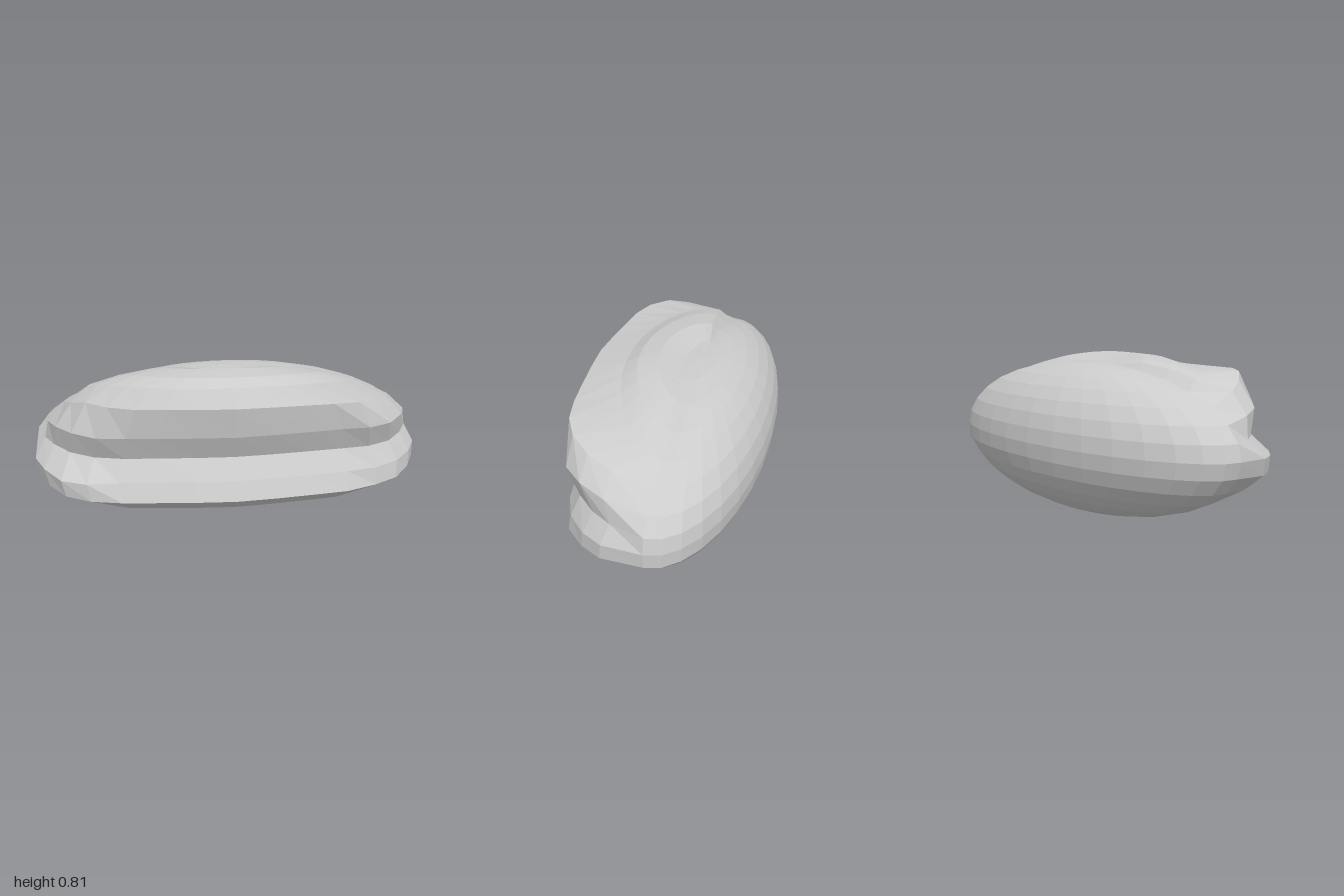
import * as THREE from 'three';

const RINGS = 16, SIDES = 32, R = 0.385, CENTRE_Z = -0.085;

// Front centreline [z, y] for rings 5 to 15: chin, lower lip, mouth crease, upper lip, brow
const FRONT = [
  [0.23, 0.165], [0.40, 0.19], [0.47, 0.27], [0.43, 0.36], [0.37, 0.46], [0.425, 0.588],
  [0.45, 0.742], [0.275, 0.775], [0.21, 0.805], [0.11, 0.815], [-0.01, 0.77],
];

// Rings of the lips: how far the four corner columns reach forward on each side,
// how early the height changes [left, right], and the width of the ring's front
const LIPS = {
  6: { left: [0.28, 0.52, 0.70, 0.81], right: [0.28, 0.52, 0.70, 0.81], lift: [0.8, 0.8], width: 1 },
  7: { left: [0.37, 0.56, 0.74, 0.84], right: [0.38, 0.58, 0.77, 0.87], lift: [1.1, 1.1], width: 1 },
  8: { left: [0.38, 0.58, 0.76, 0.87], right: [0.38, 0.60, 0.83, 0.92], lift: [1.1, 1.1], width: 1 },
  9: { left: [0.36, 0.57, 0.78, 0.89], right: [0.28, 0.48, 0.70, 0.85], lift: [1, 1], width: 0.97 },
  10: { left: [0.38, 0.63, 0.82, 0.91], right: [0.30, 0.54, 0.74, 0.88], lift: [1.6, 1.6], width: 1 },
  11: { left: [0.36, 0.58, 0.76, 0.87], right: [0.30, 0.50, 0.68, 0.84], lift: [1, 1.4], width: 1 },
};
const MIDDLE_REACH = [0.92, 0.95, 0.98, 1];

// Point on the shell: a round pod at the back that blends into the lipped front
function shellPoint(i, j) {
  const { lerp } = THREE.MathUtils;
  const lat = Math.PI * (i / RINGS - 0.5);
  const a = (2 * Math.PI * j) / SIDES;
  const s = Math.sin(a);
  const width = Math.cos(lat);
  const isLeft = j <= SIDES / 4;
  let x = width * Math.cos(a);
  let y = R + R * Math.sin(lat);
  let z = CENTRE_Z + R * width * s;
  const front = FRONT[i - 5];
  if (front && j > 0 && j < SIDES / 2) {
    const lip = LIPS[i];
    const depth = front[0] - CENTRE_Z;
    if (lip) {
      // Lips wrap round to the corners of the mouth
      const column = Math.min(j, SIDES / 2 - j) - 1;
      const reach = [...(isLeft ? lip.left : lip.right), ...MIDDLE_REACH][column];
      x *= lip.width;
      y = lerp(y, front[1], Math.min(1, reach * lip.lift[isLeft ? 0 : 1]));
      z = CENTRE_Z + depth * reach;
    } else {
      // Chin and brow swell gradually towards the middle
      y = lerp(y, front[1], isLeft ? s : Math.sqrt(s));
      z = CENTRE_Z + lerp(R * width, depth, s) * s;
    }
  }
  // The lower lip's left end stands upright
  if (i === 7 && x > 0) x *= 1.018;
  return [x, y, z];
}

function shellGeometry() {
  const positions = [], index = [];
  for (let i = 0; i <= RINGS; i++)
    for (let j = 0; j < SIDES; j++) positions.push(...shellPoint(i, j));
  for (let i = 0; i < RINGS; i++)
    for (let j = 0; j < SIDES; j++) {
      const k = (j + 1) % SIDES;
      const p = i * SIDES + j, q = i * SIDES + k;
      if (i < RINGS - 1) index.push(p, p + SIDES, q + SIDES);
      if (i > 0) index.push(p, q + SIDES, q);
    }
  const geometry = new THREE.BufferGeometry();
  geometry.setAttribute('position', new THREE.Float32BufferAttribute(positions, 3));
  geometry.setIndex(index);
  geometry.computeVertexNormals();
  return geometry;
}

export function createModel() {
  const group = new THREE.Group();
  const material = new THREE.MeshStandardMaterial({ color: 0xcccccc, flatShading: true });
  const body = new THREE.Mesh(shellGeometry(), material);
  body.name = 'lippedBody';
  group.add(body);
  return group;
}
